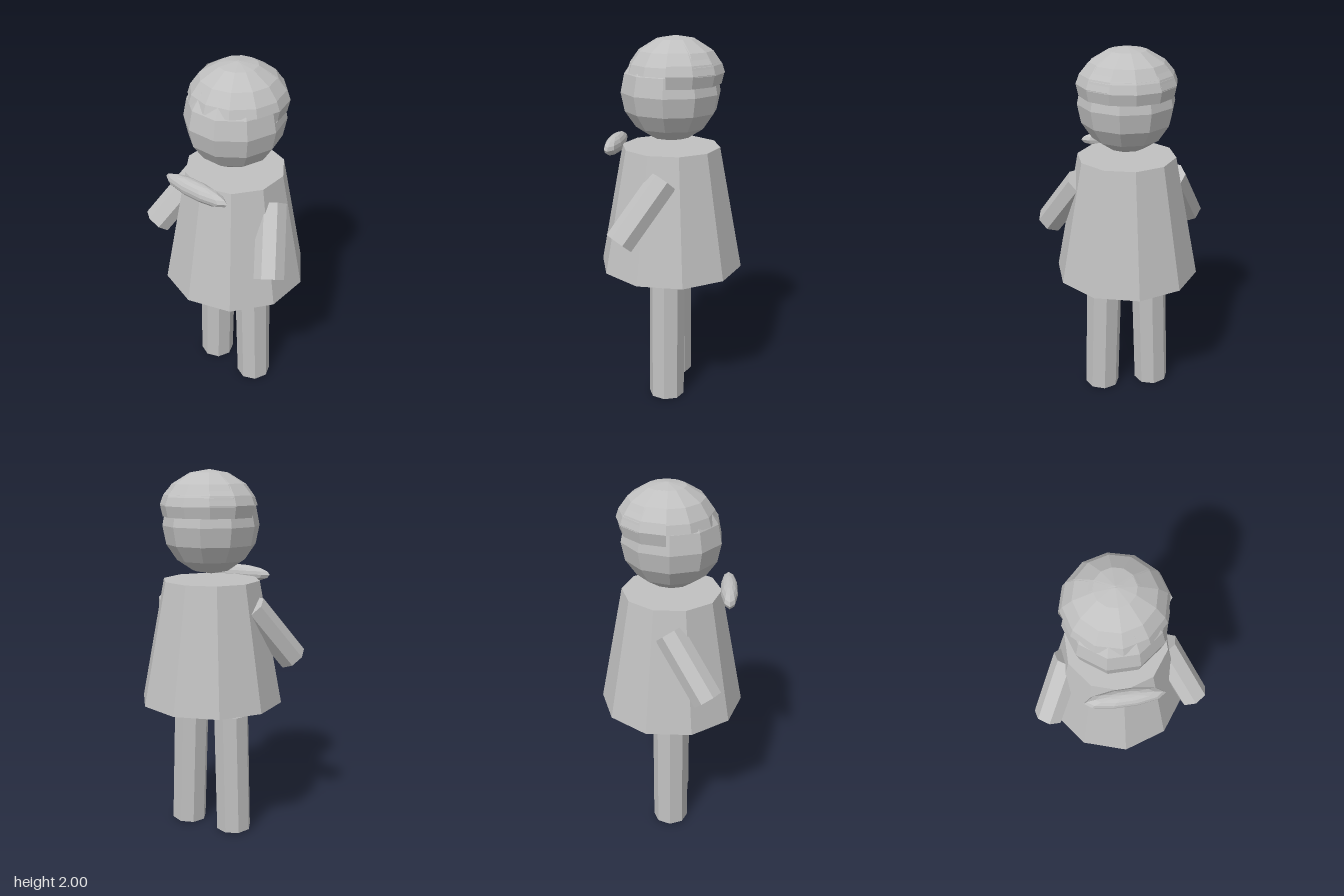
import * as THREE from 'three';

export function createModel() {
  const group = new THREE.Group();
  const grey = new THREE.MeshStandardMaterial({ color: 0xc0c0c0, flatShading: true, side: THREE.DoubleSide });
  grey.name = 'light grey';

  const add = (name, geometry, x, y, z) => {
    const mesh = new THREE.Mesh(geometry, grey);
    mesh.name = name;
    mesh.position.set(x, y, z);
    group.add(mesh);
    return mesh;
  };

  // Flared coat
  add('coat', new THREE.CylinderGeometry(0.265, 0.393, 0.67, 10), 0, 1.085, 0);

  // Mirrored legs and arms
  for (const [side, s] of [['left', 1], ['right', -1]]) {
    const leg = add(side + 'Leg', new THREE.CylinderGeometry(0.098, 0.098, 0.673, 8), s * 0.138, 0.342, 0);
    leg.rotation.z = s * 0.03;
    const arm = add(side + 'Arm', new THREE.CylinderGeometry(0.08, 0.08, 0.39, 7), s * 0.322, 1.14, 0.1);
    arm.rotation.set(-0.6, 0, s * 0.4);
  }

  // Head
  add('head', new THREE.SphereGeometry(0.258, 10, 8), 0, 1.71, 0).scale.z = 1.03;

  // Hair: a shallow cap, with a deeper shell around the back
  const lathe = (points, start, length, segments) => new THREE.LatheGeometry(
    points.map(([r, y]) => new THREE.Vector2(r, y)), segments, start, length);
  add('hairCap', lathe(
    [[0.22, 1.815], [0.257, 1.815], [0.242, 1.86], [0.195, 1.925], [0.1, 1.983], [0, 2]],
    0, Math.PI * 2, 12), 0, 0, -0.025);
  add('hairBack', lathe(
    [[0.22, 1.757], [0.25, 1.757], [0.264, 1.82], [0.245, 1.87], [0.196, 1.928], [0.1, 1.984], [0, 2]],
    Math.PI / 2, Math.PI, 6), 0, 0, -0.015);

  // Bow at the neckline
  add('neckBow', new THREE.SphereGeometry(1, 10, 8), 0, 1.422, 0.302).scale.set(0.205, 0.049, 0.046);

  return group;
}
